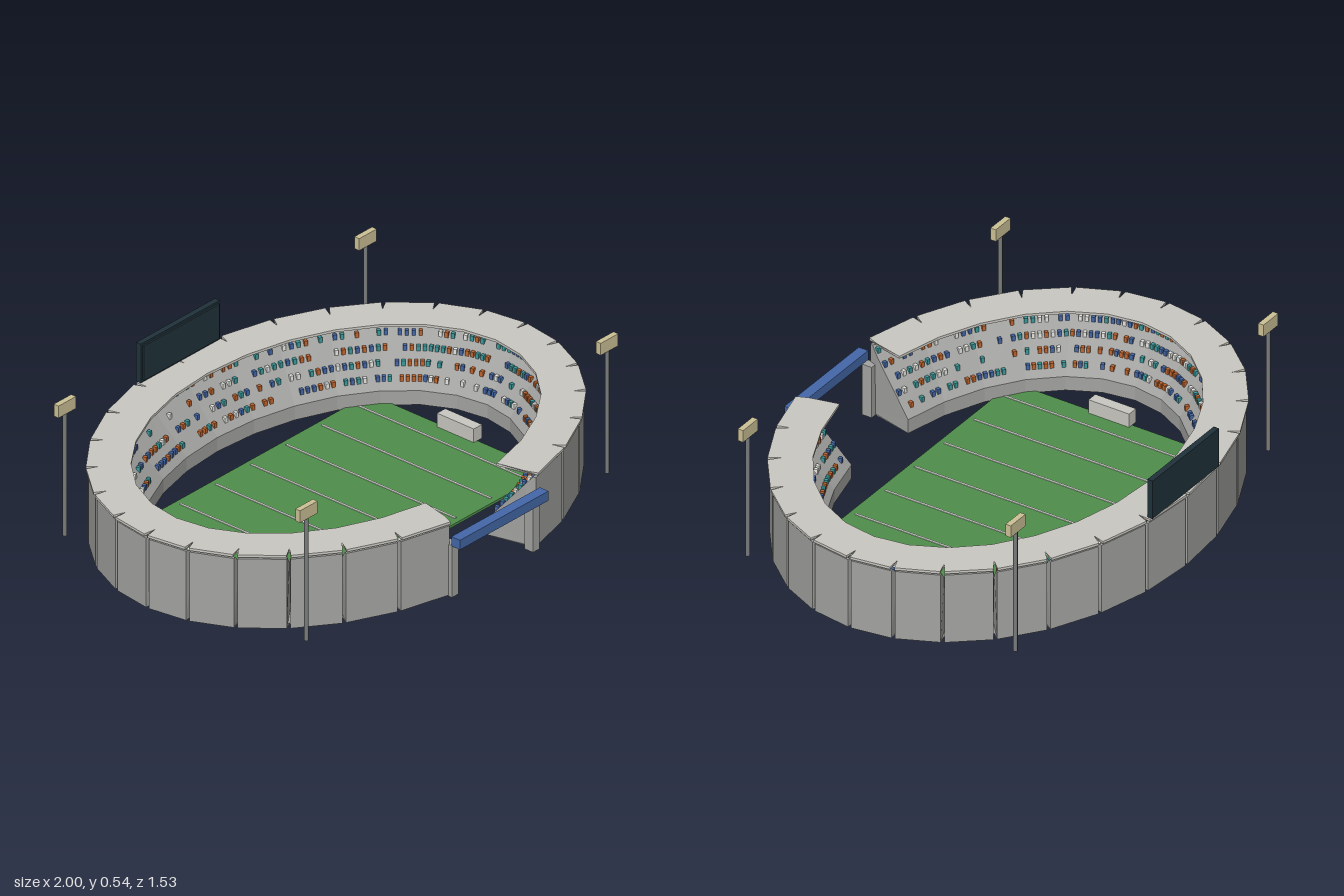
import * as THREE from 'three';
import { mergeGeometries } from 'three/addons/utils/BufferGeometryUtils.js';

const SEGMENTS = 28, RX = 1, RZ = 0.755, CZ = -0.011;
const STEP = (Math.PI * 2) / SEGMENTS;

const material = (name, color) => {
  const m = new THREE.MeshStandardMaterial({ color });
  m.name = name;
  return m;
};

// Point on the oval, d units inside the outer edge; t = 0 is the front
const oval = (t, d, y) =>
  new THREE.Vector3((RX - d) * Math.sin(t), y, CZ + (RZ - d) * Math.cos(t));

// One straight ring segment from a [d, y] profile; wedge gaps open at its outer corners
function segmentGeometry(k, profile) {
  const t0 = k * STEP, t1 = t0 + STEP;
  const a = [], b = [];
  for (const [d, y] of profile) {
    const p = oval(t0, d, y), q = oval(t1, d, y);
    const inset = 0.008 * Math.max(0, 1 - d / 0.05);
    const dir = q.clone().sub(p).normalize().multiplyScalar(inset);
    a.push(p.add(dir));
    b.push(q.sub(dir));
  }
  const pts = [], n = profile.length;
  for (let i = 0; i < n; i++) {
    const j = (i + 1) % n;
    pts.push(a[i], b[i], b[j], a[i], b[j], a[j]);
  }
  for (let i = 1; i < n - 1; i++) {
    pts.push(a[0], a[i], a[i + 1], b[0], b[i + 1], b[i]);
  }
  const g = new THREE.BufferGeometry().setFromPoints(pts);
  g.computeVertexNormals();
  return g;
}

export function createModel() {
  const group = new THREE.Group();
  group.name = 'stadium';

  const concrete = material('concrete', 0xa3a3a1);
  const canopy = material('pale canopy', 0xcac8c1);
  const turf = material('turf green', 0x4f8f4b);
  const white = material('white', 0xe6e6e2);
  const dark = material('scoreboard dark', 0x20323a);
  const lampTan = material('lamp tan', 0xcdc296);
  const blue = material('gate blue', 0x4468a8);
  const orange = material('crowd orange', 0xc0642c);
  const teal = material('crowd teal', 0x3a9a9c);
  const steel = material('steel', 0x7b7d7e);

  const add = (name, geometry, mat, x = 0, y = 0, z = 0) => {
    const mesh = new THREE.Mesh(geometry, mat);
    mesh.name = name;
    mesh.position.set(x, y, z);
    group.add(mesh);
    return mesh;
  };
  const box = (name, mat, w, h, d, x, y, z) =>
    add(name, new THREE.BoxGeometry(w, h, d), mat, x, y, z);

  // Stands and roof: all segments but the two at the front gate
  const FOOT = 0.205, CREST = 0.02, LOW = 0.06, HIGH = 0.28;
  const slopeD = (y) => FOOT - ((y - LOW) * (FOOT - CREST)) / (HIGH - LOW);
  const standProfile = [
    [0.008, 0.004], [0.008, HIGH], [CREST, HIGH], [0.05, 0.244],
    [FOOT, LOW], [FOOT, 0.004], [0.05, 0.004],
  ];
  const roofProfile = [
    [0, 0.29], [0, 0.3], [0.05, 0.3], [0.16, 0.3], [0.16, 0.29], [0.05, 0.29],
  ];
  const stands = [], roofs = [];
  for (let k = 1; k < SEGMENTS - 1; k++) {
    stands.push(segmentGeometry(k, standProfile));
    roofs.push(segmentGeometry(k, roofProfile));
  }
  add('stands', mergeGeometries(stands), concrete);
  add('roof', mergeGeometries(roofs), canopy);

  // Spectators in five rows on the sloped seating
  let seed = 7;
  const random = () => {
    seed = (seed * 16807) % 2147483647;
    return seed / 2147483647;
  };
  const crowdMats = [blue, orange, teal, white];
  const crowd = crowdMats.map(() => []);
  const SEATS = 7;
  for (let k = 1; k < SEGMENTS - 1; k++) {
    for (let row = 0; row < 5; row++) {
      const y = 0.092 + row * 0.042;
      const p = oval(k * STEP, slopeD(y), y), q = oval((k + 1) * STEP, slopeD(y), y);
      const heading = Math.atan2(-(q.z - p.z), q.x - p.x);
      for (let s = 0; s < SEATS; s++) {
        if (random() < 0.25) continue;
        const pos = p.clone().lerp(q, (s + 0.5) / SEATS);
        const g = new THREE.BoxGeometry(0.013, 0.02, 0.014);
        g.rotateY(heading);
        g.translate(pos.x, pos.y + 0.004, pos.z);
        const r = random();
        crowd[r < 0.3 ? 0 : r < 0.62 ? 1 : r < 0.82 ? 2 : 3].push(g);
      }
    }
  }
  crowd.forEach((list, i) => add('spectators' + (i + 1), mergeGeometries(list), crowdMats[i]));

  // Playing field with cross lines and end benches
  box('field', turf, 1.295, 0.01, 0.83, 0, 0.005, -0.013);
  for (let i = -3; i <= 3; i++) {
    box('fieldLine', white, 0.008, 0.003, 0.785, i * 0.186, 0.0113, -0.013);
  }
  for (const side of [-1, 1]) {
    box('endBench', canopy, 0.043, 0.055, 0.17, side * 0.65, 0.037, -0.012);
  }

  // Front gate: two posts and a beam
  for (const side of [-1, 1]) {
    box('gatePost', concrete, 0.035, 0.207, 0.04, side * 0.213, 0.1035, 0.71);
  }
  box('gateBeam', blue, 0.465, 0.038, 0.04, 0, 0.225, 0.749);

  // Scoreboard above the back roof
  box('scoreboard', dark, 0.415, 0.155, 0.022, 0, 0.378, -0.744);
  box('scoreboardScreen', dark, 0.395, 0.138, 0.007, 0, 0.378, -0.7295);

  // Four floodlights outside the corners
  for (const sx of [-1, 1]) {
    for (const sz of [-1, 1]) {
      const x = sx * 0.79, z = CZ + sz * 0.56;
      add('lightPole', new THREE.CylinderGeometry(0.008, 0.008, 0.5, 8), steel, x, 0.25, z);
      box('floodlight', lampTan, 0.092, 0.048, 0.022, x, 0.515, z);
    }
  }
  return group;
}
